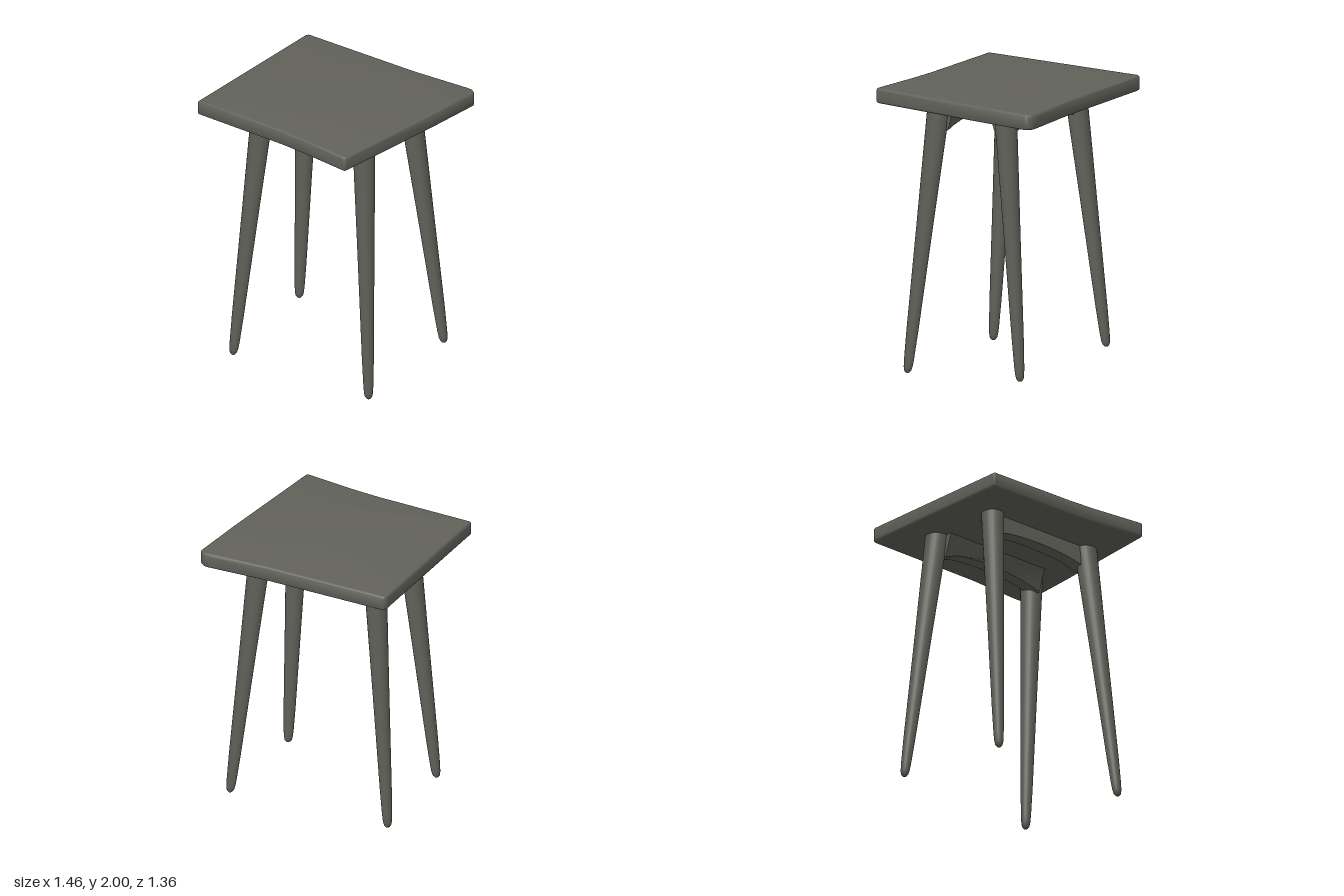
import * as THREE from 'three';
import { toCreasedNormals } from 'three/addons/utils/BufferGeometryUtils.js';

const darkGrey = new THREE.MeshStandardMaterial({ color: 0x62625b });
darkGrey.name = 'dark grey';

function part(name, geometry) {
  const mesh = new THREE.Mesh(geometry, darkGrey);
  mesh.name = name;
  return mesh;
}

// Slightly warped square board with rounded corners and softened edges
function seatGeometry() {
  const s = new THREE.Shape();
  s.moveTo(-0.73, 0.6);
  s.lineTo(-0.73, -0.6);
  s.quadraticCurveTo(-0.73, -0.615, -0.715, -0.615);
  s.lineTo(0, -0.625);
  s.lineTo(0.2, -0.638);
  s.lineTo(0.585, -0.68);
  s.quadraticCurveTo(0.607, -0.68, 0.61, -0.655);
  s.lineTo(0.655, -0.2);
  s.lineTo(0.695, 0.2);
  s.lineTo(0.729, 0.635);
  s.quadraticCurveTo(0.73, 0.655, 0.69, 0.68);
  s.quadraticCurveTo(0.67, 0.686, 0.64, 0.684);
  s.lineTo(0.2, 0.657);
  s.lineTo(-0.7, 0.653);
  s.quadraticCurveTo(-0.725, 0.65, -0.73, 0.62);
  const bevel = 0.02;
  const g = new THREE.ExtrudeGeometry(s, {
    depth: 0.11 - 2 * bevel, bevelThickness: bevel, bevelSize: bevel,
    bevelOffset: -bevel, bevelSegments: 4, curveSegments: 5,
  });
  g.rotateX(-Math.PI / 2);
  g.translate(0, 1.89 + bevel, 0);
  return toCreasedNormals(g, 0.7);
}

// Tapered round leg, leaned from its top centre to its foot centre
function legGeometry([topX, topZ], [footX, footY, footZ]) {
  const top = 1.9;
  const profile = [
    [0, 0], [0.014, 0.004], [0.025, 0.018], [0.031, 0.045], [0.035, 0.1],
    [0.042, 0.3], [0.051, 0.7], [0.06, 1.1], [0.07, 1.5], [0.076, 1.75], [0.08, 1.9],
  ].map(([r, y]) => new THREE.Vector2(r, footY + y * (top - footY) / 1.9));
  const g = new THREE.LatheGeometry(profile, 24);
  const p = g.attributes.position;
  for (let i = 0; i < p.count; i++) {
    const t = (p.getY(i) - footY) / (top - footY);
    p.setX(i, p.getX(i) + THREE.MathUtils.lerp(footX, topX, t));
    p.setZ(i, p.getZ(i) + THREE.MathUtils.lerp(footZ, topZ, t));
  }
  return g;
}

// Arched rail between two legs, flaring inward where it meets the seat
function railGeometry(outerZ, innerLowZ, innerHighZ) {
  const s = new THREE.Shape();
  s.moveTo(-0.43, 1.9);
  s.lineTo(-0.43, 1.73);
  s.lineTo(-0.37, 1.745);
  s.quadraticCurveTo(-0.34, 1.768, -0.28, 1.775);
  s.quadraticCurveTo(0, 1.808, 0.28, 1.772);
  s.lineTo(0.38, 1.752);
  s.lineTo(0.45, 1.73);
  s.lineTo(0.45, 1.9);
  const g = new THREE.ExtrudeGeometry(s, { depth: 1, bevelEnabled: false, curveSegments: 14 });
  const p = g.attributes.position;
  const back = outerZ < 0;
  for (let i = 0; i < p.count; i++) {
    const rise = THREE.MathUtils.clamp((p.getY(i) - 1.78) / 0.12, 0, 1);
    const inner = THREE.MathUtils.lerp(innerLowZ, innerHighZ, rise);
    const atFront = p.getZ(i) > 0.5;
    p.setZ(i, atFront !== back ? outerZ : inner);
  }
  return toCreasedNormals(g, 0.6);
}

export function createModel() {
  const model = new THREE.Group();
  model.name = 'stool';
  model.add(part('seat', seatGeometry()));

  const legs = [
    ['frontLeftLeg', [0.45, 0.255], [0.61, 0, 0.412]],
    ['frontRightLeg', [-0.425, 0.26], [-0.54, 0, 0.452]],
    ['backLeftLeg', [0.445, -0.295], [0.575, 0.05, -0.5]],
    ['backRightLeg', [-0.455, -0.285], [-0.63, 0.05, -0.427]],
  ];
  for (const [name, top, foot] of legs) model.add(part(name, legGeometry(top, foot)));

  model.add(part('frontRail', railGeometry(0.28, 0.18, 0.135)));
  model.add(part('backRail', railGeometry(-0.31, -0.22, -0.16)));
  return model;
}
